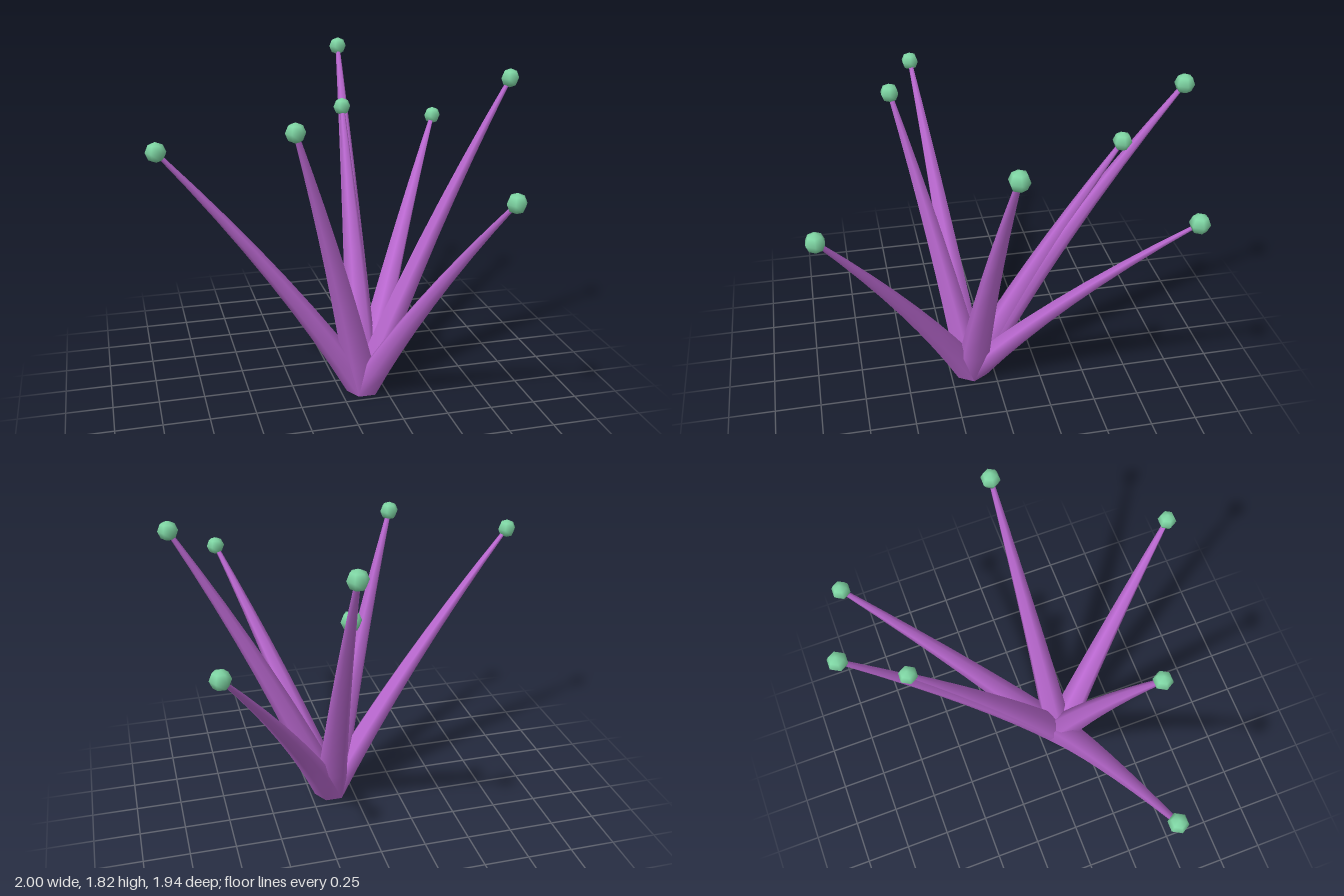
import * as THREE from 'three';
import { mergeVertices } from 'three/addons/utils/BufferGeometryUtils.js';

const ROOT = new THREE.Vector3(0.13, 0, 0.13);
const BASE_RADIUS = 0.095;
const TIP_RADIUS = 0.013;
const BOW = 0.18; // how far a stalk hangs back before leaning out

// Bulb centres, one per stalk
const TIPS = [
  [-0.95, 1.49, 0.285],
  [-0.31, 1.59, 0.47],
  [0.247, 1.765, -0.93],
  [0.203, 1.453, -0.65],
  [0.623, 1.313, 0.925],
  [0.833, 1.327, -0.83],
  [0.945, 1.717, 0.058],
];

// Six-sided tapering stalk with level rings, leaning from the shared root to its tip
function stalkGeometry(tip) {
  let geo = new THREE.CylinderGeometry(TIP_RADIUS, BASE_RADIUS, 1, 6, 8, true);
  geo.rotateY(Math.PI / 6).translate(0, 0.5, 0);
  geo.deleteAttribute('uv');
  geo.deleteAttribute('normal');
  geo = mergeVertices(geo, 1e-4);

  const pos = geo.attributes.position;
  for (let i = 0; i < pos.count; i++) {
    const t = pos.getY(i);
    const lean = t - BOW * t * (1 - t);
    pos.setXYZ(
      i,
      pos.getX(i) + THREE.MathUtils.lerp(ROOT.x, tip.x, lean),
      t * tip.y,
      pos.getZ(i) + THREE.MathUtils.lerp(ROOT.z, tip.z, lean),
    );
  }
  geo.computeVertexNormals();
  return geo;
}

export function createModel() {
  const purple = new THREE.MeshStandardMaterial({ color: 0xba68d0, side: THREE.DoubleSide });
  purple.name = 'purple';
  const green = new THREE.MeshStandardMaterial({ color: 0x7fd6a4 });
  green.name = 'green';

  const model = new THREE.Group();
  model.name = 'stalkCluster';
  const bulbGeometry = new THREE.SphereGeometry(0.051, 6, 4);

  TIPS.forEach((p, i) => {
    const tip = new THREE.Vector3(...p);

    const stalk = new THREE.Mesh(stalkGeometry(tip), purple);
    stalk.name = `stalk${i + 1}`;

    const bulb = new THREE.Mesh(bulbGeometry, green);
    bulb.name = `bulb${i + 1}`;
    bulb.position.copy(tip);

    model.add(stalk, bulb);
  });
  return model;
}
